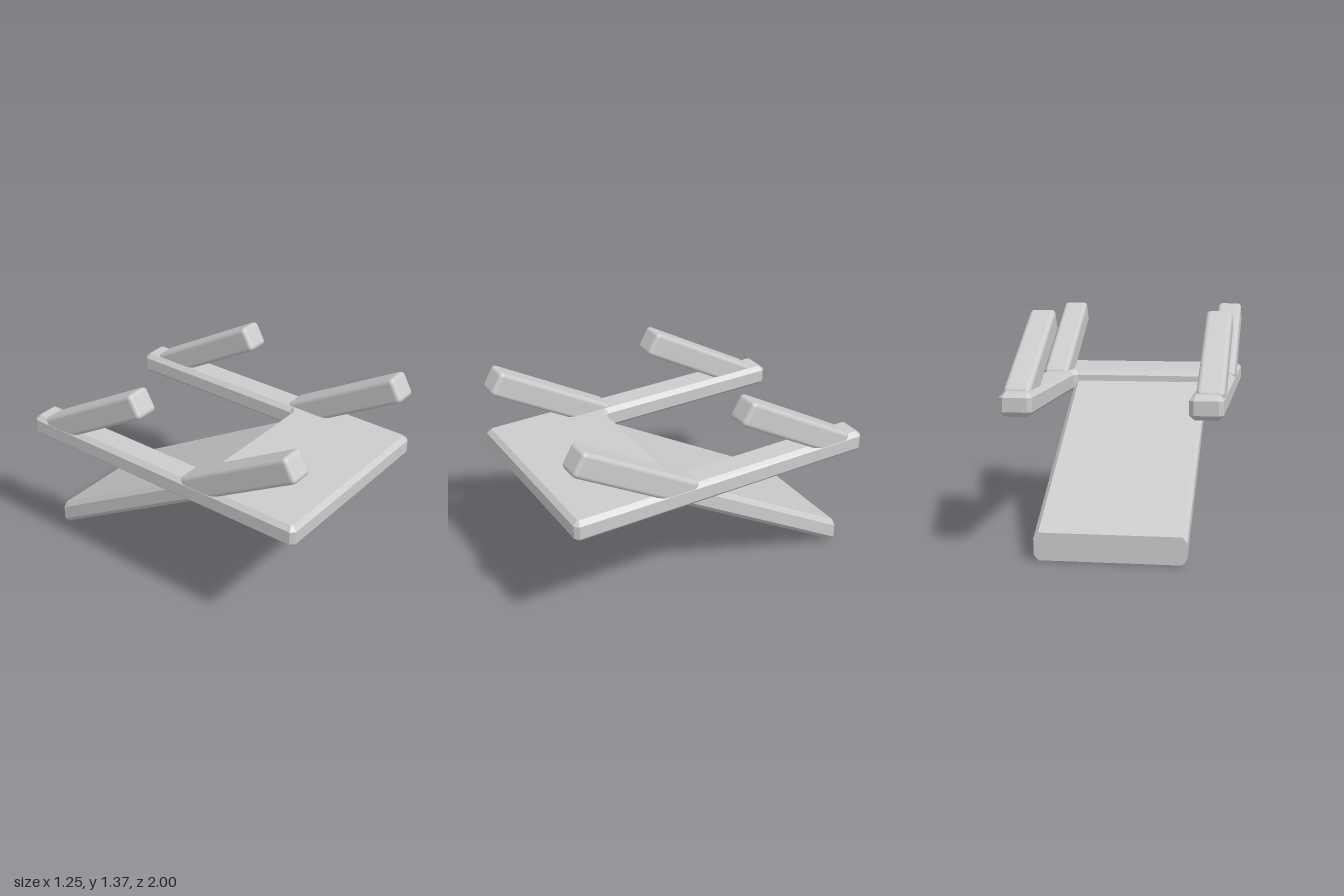
import * as THREE from 'three';
import { RoundedBoxGeometry } from 'three/addons/geometries/RoundedBoxGeometry.js';

const SLOPE = Math.PI / 6;

function polygon(points) {
  return new THREE.Shape(points.map(([x, y]) => new THREE.Vector2(x, y)));
}

// U-shaped deck with bevelled rims, drawn in plan (x, z) and laid flat
function deckGeometry() {
  const w = 0.627, inner = 0.437, notch = 0.25, c = 0.025, bevel = 0.028, thick = 0.137;
  const half = [
    [w - c, 1], [w, 1 - c], [w, -1 + c], [w - c, -1],
    [inner + c, -1], [inner, -1 + c], [inner, notch - c], [inner - c, notch],
  ];
  const mirrored = half.map(([x, z]) => [-x, z]).reverse();
  const geometry = new THREE.ExtrudeGeometry(polygon([...half, ...mirrored]), {
    depth: thick - 2 * bevel, bevelEnabled: true, bevelSegments: 1,
    bevelThickness: bevel, bevelSize: bevel, bevelOffset: -bevel,
  });
  geometry.rotateX(Math.PI / 2);
  return geometry.translate(0, 0.947 - bevel, 0);
}

// Chamfered slab, sheared along the slope: upright cut behind, square cut under the deck
function rampGeometry() {
  const w = 0.435, h = 0.16, cx = 0.028, cy = 0.034;
  const half = [[w - cx, 0], [w, cy], [w, h - cy], [w - cx, h]];
  const mirrored = half.map(([x, y]) => [-x, y]).reverse();
  const geometry = new THREE.ExtrudeGeometry(polygon([...half, ...mirrored]), {
    depth: 1, bevelEnabled: false,
  });
  const p = geometry.attributes.position;
  for (let i = 0; i < p.count; i++) {
    const y = p.getY(i);
    const z = p.getZ(i) < 0.5 ? -1 : 0.38 - 0.433 * y;
    p.setXYZ(i, p.getX(i), y + Math.tan(SLOPE) * (z + 1), z);
  }
  geometry.computeVertexNormals();
  return geometry;
}

export function createModel() {
  const model = new THREE.Group();
  model.name = 'slopedFrame';
  const material = new THREE.MeshStandardMaterial({ color: 0xcccccc });

  const add = (name, geometry) => {
    const mesh = new THREE.Mesh(geometry, material);
    mesh.name = name;
    model.add(mesh);
    return mesh;
  };

  add('deck', deckGeometry());
  add('ramp', rampGeometry());

  // Four slanted bars rising from the side arms
  const bar = new RoundedBoxGeometry(0.159, 0.159, 0.85, 2, 0.028);
  for (const [side, sx] of [['left', 1], ['right', -1]]) {
    for (const [end, z] of [['Front', 0.592], ['Back', -0.5]]) {
      const mesh = add(`${side}${end}Bar`, bar);
      mesh.position.set(sx * 0.546, 1.095, z);
      mesh.rotation.x = -SLOPE;
    }
  }
  return model;
}
